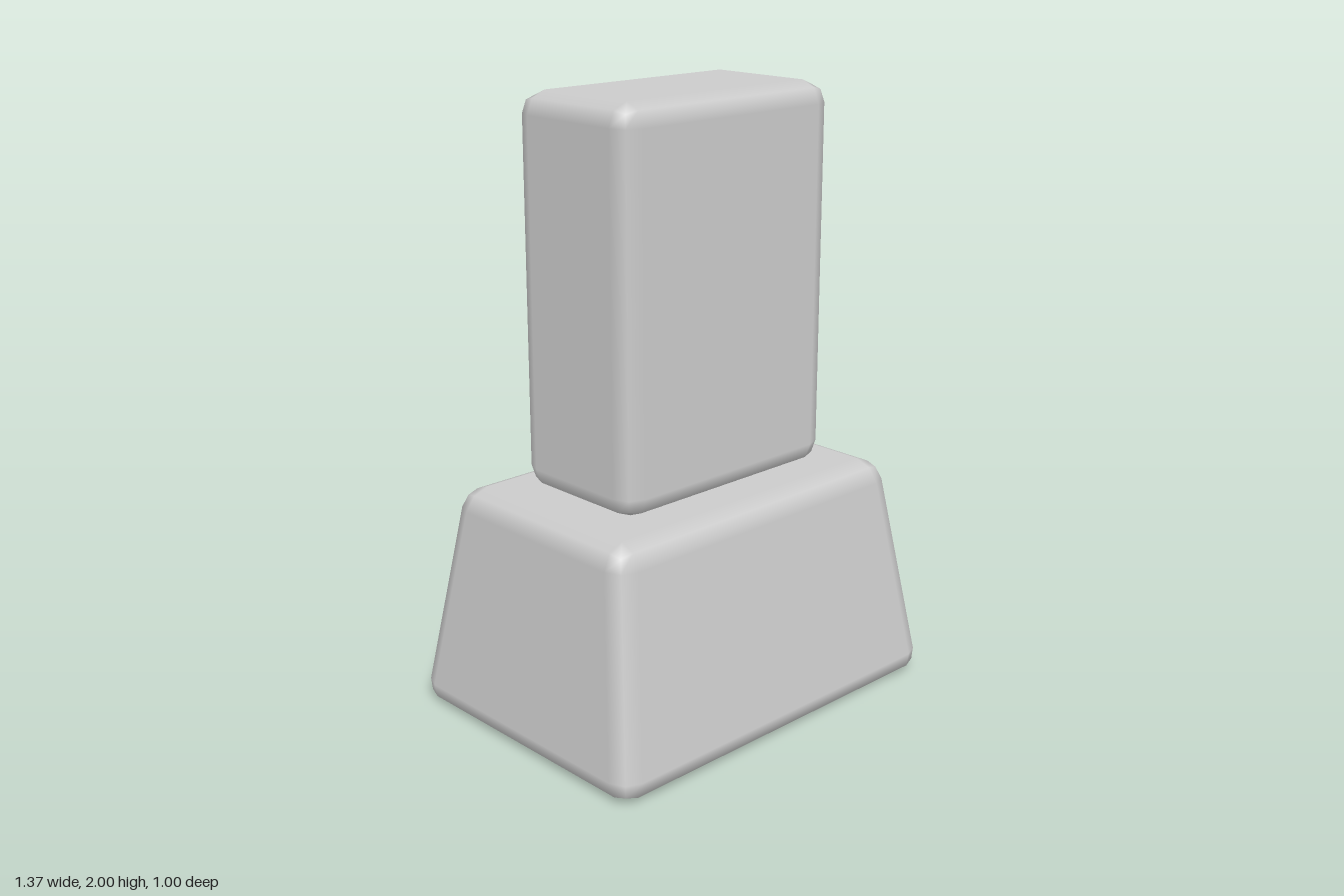
import * as THREE from 'three';
import { RoundedBoxGeometry } from 'three/addons/geometries/RoundedBoxGeometry.js';

const BEVEL = 0.07;
const BASE_HEIGHT = 0.753;

// Box with a two-step bevel, standing on y = 0
function bevelledBox(width, height, depth) {
  return new RoundedBoxGeometry(width, height, depth, 1, BEVEL).translate(0, height / 2, 0);
}

// Lean the sides inward with height; slopes are inset per unit of height
function taper(geometry, slopeX, slopeZ) {
  const p = geometry.attributes.position;
  const n = geometry.attributes.normal;
  const normal = new THREE.Vector3();
  for (let i = 0; i < p.count; i++) {
    const rise = p.getY(i) - BEVEL;
    p.setX(i, p.getX(i) - Math.sign(p.getX(i)) * slopeX * rise);
    p.setZ(i, p.getZ(i) - Math.sign(p.getZ(i)) * slopeZ * rise);
    normal.fromBufferAttribute(n, i);
    normal.y += slopeX * Math.abs(normal.x) + slopeZ * Math.abs(normal.z);
    normal.normalize();
    n.setXYZ(i, normal.x, normal.y, normal.z);
  }
  return geometry;
}

export function createModel() {
  const group = new THREE.Group();
  const material = new THREE.MeshStandardMaterial({ color: 0xcccccc });

  // Wide tapered base
  const base = new THREE.Mesh(taper(bevelledBox(1.37, BASE_HEIGHT, 1), 0.133, 0.165), material);
  base.name = 'base';

  // Upright block resting on the base
  const upperBlock = new THREE.Mesh(bevelledBox(0.872, 2 - BASE_HEIGHT, 0.5), material);
  upperBlock.name = 'upperBlock';
  upperBlock.position.y = BASE_HEIGHT;

  group.add(base, upperBlock);
  return group;
}
